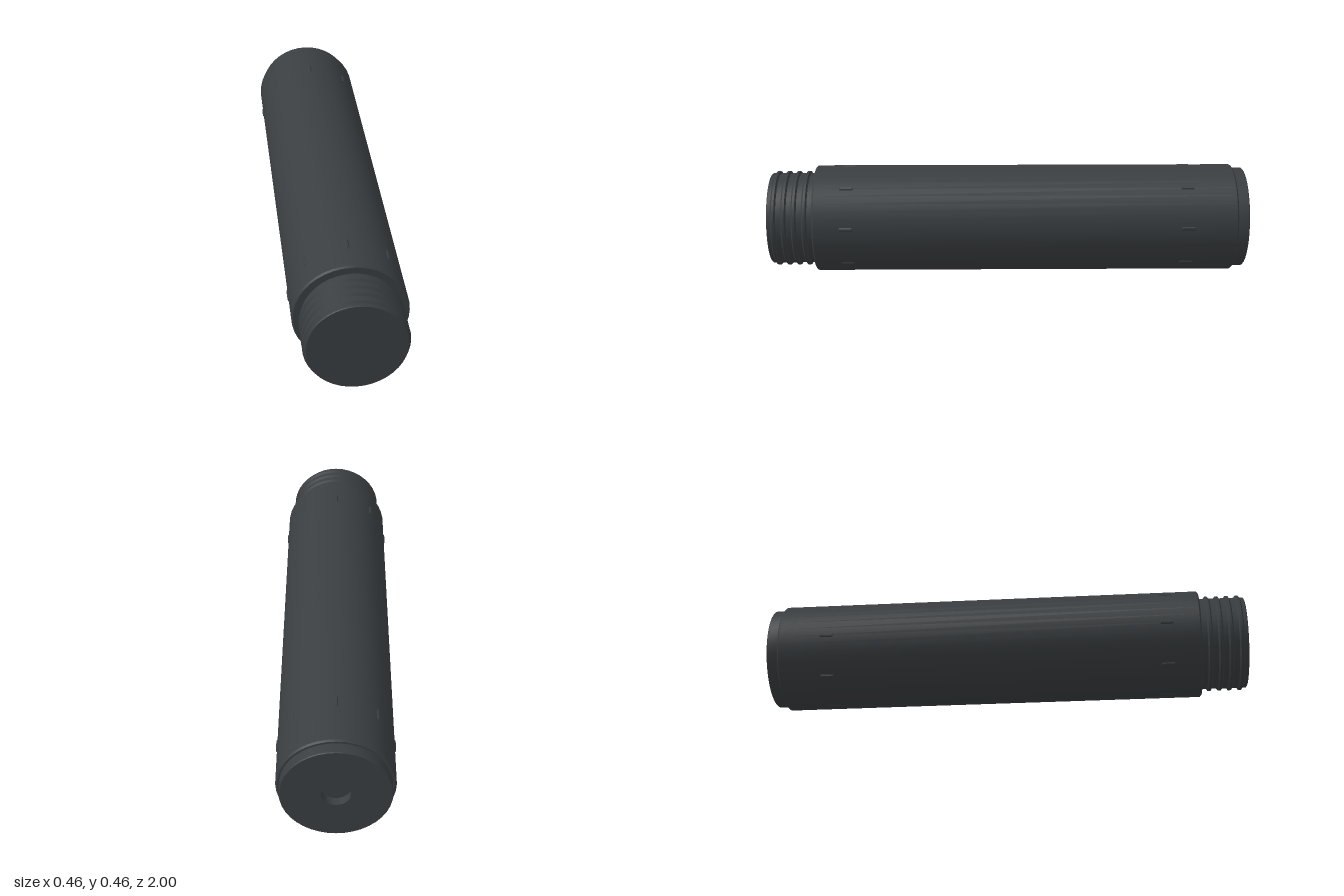
import * as THREE from 'three';
import { toCreasedNormals } from 'three/addons/utils/BufferGeometryUtils.js';

const AXIS_Y = 0.228;
const BODY_R = 0.224;
const material = new THREE.MeshStandardMaterial({ color: 0x3a3e41 });

// Turned part along z; the profile is a list of [radius, z] from back to front.
function turned(name, profile) {
  const points = profile.map(([r, z]) => new THREE.Vector2(r, z));
  const geometry = new THREE.LatheGeometry(points, 40).rotateX(Math.PI / 2);
  const mesh = new THREE.Mesh(toCreasedNormals(geometry, 0.5), material);
  mesh.name = name;
  return mesh;
}

// Small raised lug: a box whose top is pinched into a short ridge along z.
function lugGeometry() {
  const geometry = new THREE.BoxGeometry(0.042, 0.018, 0.07);
  const p = geometry.attributes.position;
  for (let i = 0; i < p.count; i++) {
    if (p.getY(i) > 0) {
      p.setX(i, p.getX(i) * 0.15);
      p.setZ(i, p.getZ(i) * 0.7);
    }
  }
  geometry.translate(0, AXIS_Y - 0.009, 0);
  return toCreasedNormals(geometry, 0.3);
}

export function createModel() {
  const model = new THREE.Group();
  model.name = 'threadedTube';
  const tube = new THREE.Group();
  tube.name = 'tube';
  tube.position.y = AXIS_Y;
  model.add(tube);

  // Main barrel with slightly bevelled rims
  tube.add(turned('body', [
    [0, -0.953], [0.218, -0.953], [BODY_R, -0.947],
    [BODY_R, 0.804], [0.218, 0.81], [0, 0.81],
  ]));

  // Rear cap with a shallow central bore
  tube.add(turned('rearCap', [
    [0, -0.965], [0.055, -0.965], [0.055, -1], [0.207, -1],
    [0.21, -0.997], [0.21, -0.95],
  ]));

  // Front neck with raised thread ridges
  const neck = [[0.191, 0.805]];
  for (const z of [0.845, 0.888, 0.93, 0.973]) {
    neck.push([0.191, z - 0.011], [0.2, z - 0.005], [0.2, z + 0.005], [0.191, z + 0.011]);
  }
  neck.push([0.191, 0.997], [0.188, 1], [0, 1]);
  tube.add(turned('threadedNeck', neck));

  // Two rings of eight lugs
  const lug = lugGeometry();
  for (const [name, z] of [['frontLug', 0.67], ['rearLug', -0.745]]) {
    for (let i = 0; i < 8; i++) {
      const mesh = new THREE.Mesh(lug, material);
      mesh.name = name;
      mesh.position.z = z;
      mesh.rotation.z = (i * Math.PI) / 4;
      tube.add(mesh);
    }
  }
  return model;
}
